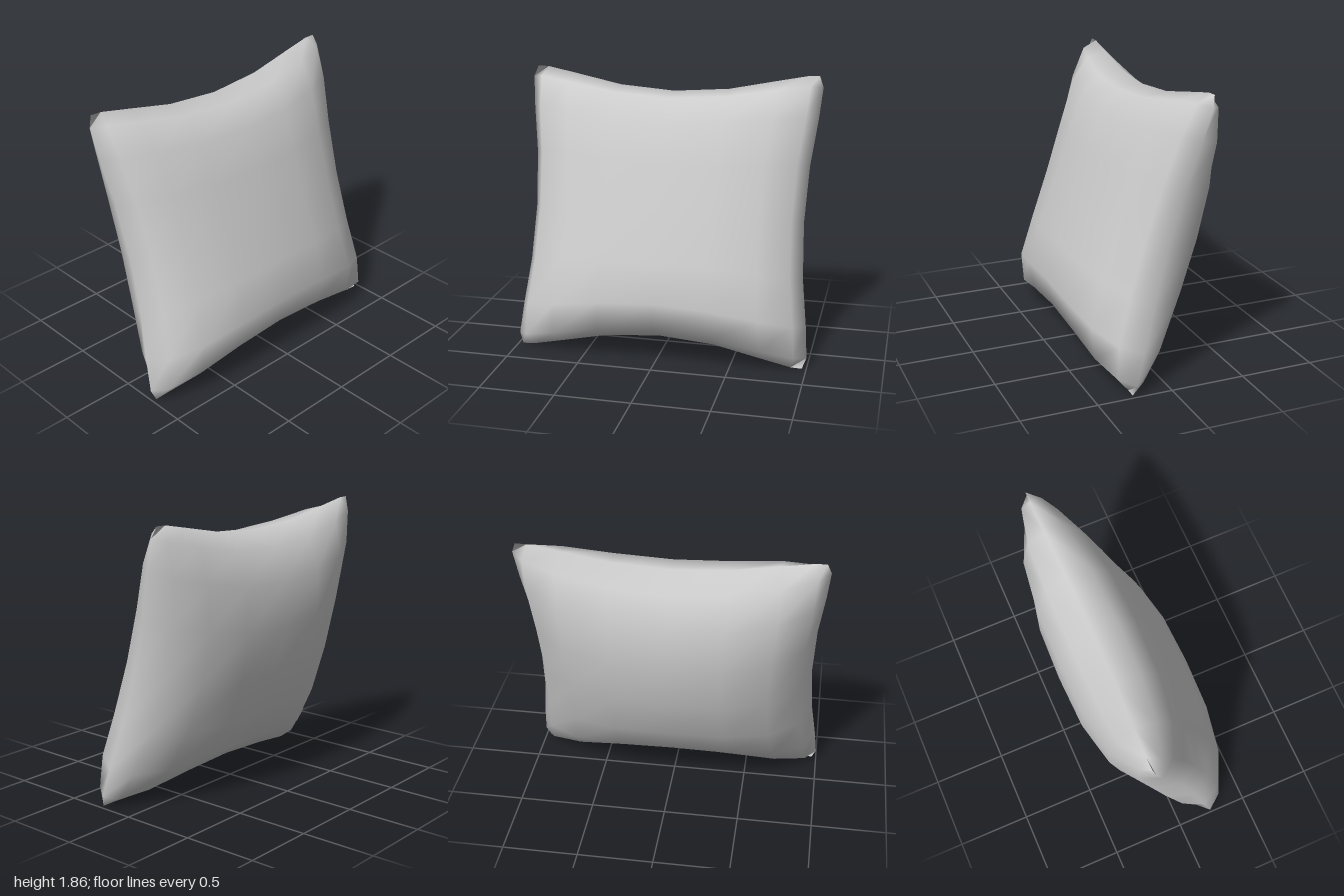
import * as THREE from 'three';
import { mergeGeometries, mergeVertices } from 'three/addons/utils/BufferGeometryUtils.js';

const SEGMENTS = 8;

// Half width and half height of the seam outline, pulled in between the corners
const halfWidth = (t) => 0.925 + 0.11 * t ** 2 - 0.065 * t ** 14;
const halfHeight = (s) => 0.83 + 0.19 * s ** 2 - 0.055 * s ** 8;

// Rounded falloff from 1 in the middle to 0 at the seam
const falloff = (v, power) => Math.sqrt(Math.max(0, 1 - Math.abs(v) ** power));

// The front is full and sags toward the bottom, the back is a rounder dome
const frontBulge = (s, t) => (0.305 - 0.065 * t) * falloff(t, 7) * falloff(s, 2.6);
const backBulge = (s, t) => -0.424 * falloff(t, 2.25) * falloff(s, 2.8);

// One inflated panel of cloth, with rows gathered toward the seam
function panel(bulge, isBack) {
  const geometry = new THREE.PlaneGeometry(2, 2, SEGMENTS, SEGMENTS);
  if (isBack) geometry.rotateY(Math.PI);
  geometry.deleteAttribute('normal');
  geometry.deleteAttribute('uv');
  const position = geometry.attributes.position;
  for (let i = 0; i < position.count; i++) {
    const s = Math.sin((position.getX(i) * Math.PI) / 2);
    const t = Math.sin((position.getY(i) * Math.PI) / 2);
    position.setXYZ(i, s * halfWidth(t), t * halfHeight(s), bulge(s, t));
  }
  return geometry;
}

export function createModel() {
  const group = new THREE.Group();
  group.name = 'cushion';

  // Both panels are welded along the seam for smooth shading
  const geometry = mergeVertices(
    mergeGeometries([panel(frontBulge, false), panel(backBulge, true)]), 1e-4);
  geometry.computeVertexNormals();

  const cushion = new THREE.Mesh(geometry, new THREE.MeshStandardMaterial({ color: 0xcccccc }));
  cushion.name = 'cushionBody';
  // Leaning backward, resting on its lower edge
  cushion.rotation.x = -0.267;
  cushion.position.y = 0.932;
  group.add(cushion);
  return group;
}
